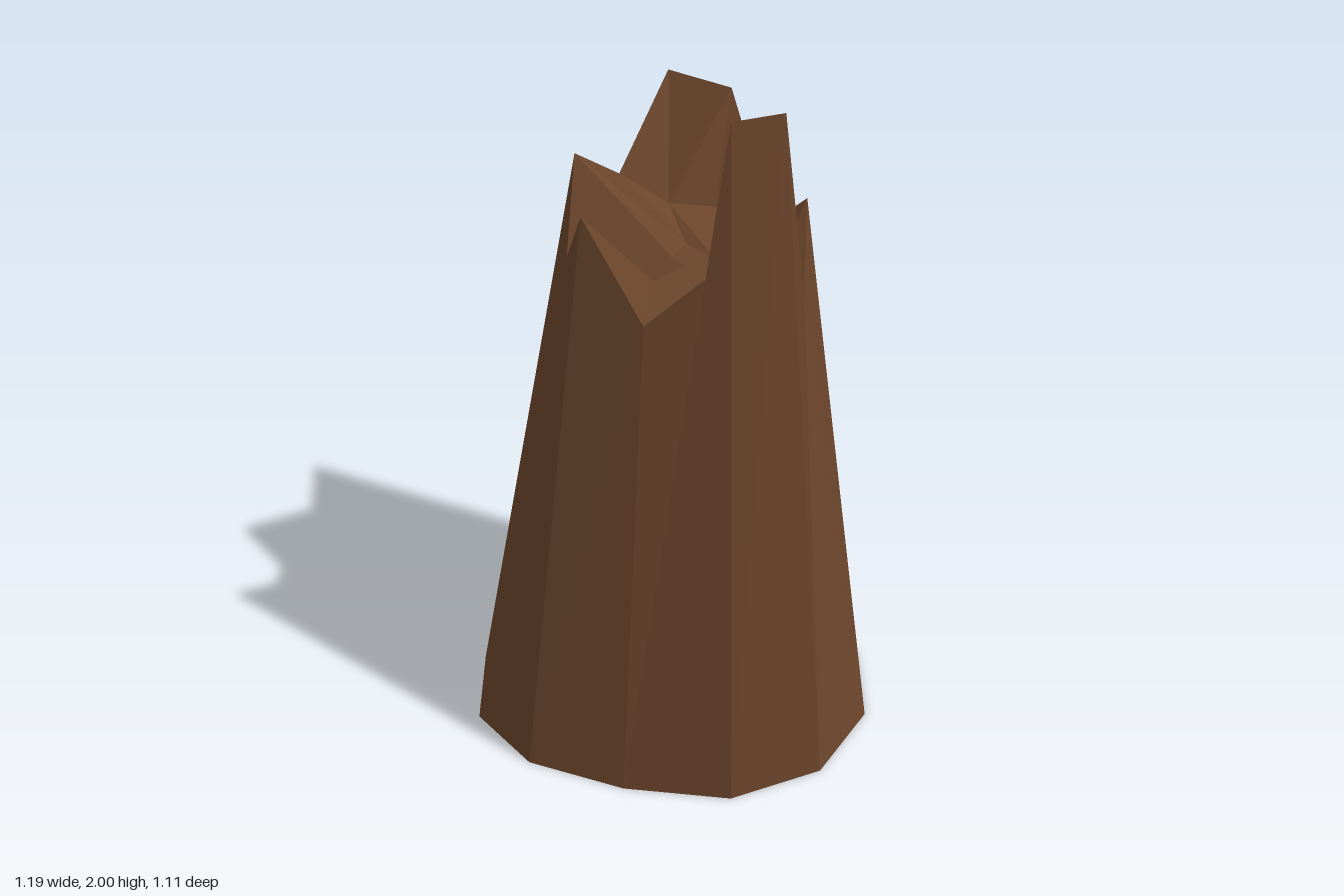
import * as THREE from 'three';

// Base outline [x, z], running from the back round by +x to the front
const BASE = [
  [0, -0.555], [0.295, -0.48], [0.515, -0.26], [0.593, 0.04], [0.515, 0.335], [0.295, 0.52],
  [-0.01, 0.552], [-0.305, 0.505], [-0.515, 0.335], [-0.595, 0.04], [-0.515, -0.26], [-0.3, -0.48],
].map(([x, z]) => new THREE.Vector3(x, 0, z));

// Splintered rim: x, y, z, and the base corner it grows from
const RIM_ROWS = [
  [0.06, 1.76, -0.41, 0], [0.21, 1.375, -0.325, 1], [0.335, 1.56, -0.15, 2], [0.38, 1.39, 0.095, 3],
  [0.37, 2, 0.355, 4], [0.25, 1.995, 0.435, 5], [0.195, 1.53, 0.36, 6], [0.015, 1.39, 0.39, 6],
  [-0.17, 1.65, 0.32, 7], [-0.285, 1.38, 0.165, 8], [-0.29, 1.4, 0.07, 9], [-0.295, 1.67, -0.045, 9],
  [-0.23, 1.53, -0.26, 10], [-0.14, 1.775, -0.47, 11],
];
const RIM = RIM_ROWS.map(([x, y, z]) => new THREE.Vector3(x, y, z));

// Foot of the inner splinter below each rim edge
const INNER = [
  [0.04, 1.44, -0.3], [0.155, 1.4, -0.19], [0.265, 1.39, 0.01], [0.265, 1.39, 0.095], [0.265, 1.39, 0.095],
  [0.265, 1.39, 0.095], [0.1, 1.39, 0.085], [-0.03, 1.39, 0.12], [0.03, 1.39, 0], [0.03, 1.39, 0],
  [-0.02, 1.39, -0.045], [0, 1.4, -0.12], [-0.08, 1.46, -0.245], [-0.08, 1.46, -0.245],
].map((p) => new THREE.Vector3(...p));

function facetedMesh(name, triangles, material) {
  // Leave out triangles whose corners coincide
  const solid = triangles.filter(([a, b, c]) => !a.equals(b) && !b.equals(c) && !c.equals(a));
  const geometry = new THREE.BufferGeometry().setFromPoints(solid.flat());
  geometry.computeVertexNormals();
  const mesh = new THREE.Mesh(geometry, material);
  mesh.name = name;
  return mesh;
}

export function createModel() {
  const group = new THREE.Group();
  group.name = 'brokenTreeStump';
  const bark = new THREE.MeshStandardMaterial({ color: 0x6b452b, flatShading: true, side: THREE.DoubleSide });

  const outer = [], inside = [], bottom = [];
  const floorCentre = new THREE.Vector3(0.1, 1.39, -0.06);
  const baseCentre = new THREE.Vector3();

  RIM.forEach((rim, i) => {
    const j = (i + 1) % RIM.length;
    const b0 = BASE[RIM_ROWS[i][3]], b1 = BASE[RIM_ROWS[j][3]];
    // Bark facets from the rim to the base
    outer.push([rim, RIM[j], b1], [rim, b1, b0]);
    // Splinter slopes and the core floor between them
    inside.push([rim, INNER[i], RIM[j]], [RIM[j], INNER[i], INNER[j]], [floorCentre, INNER[j], INNER[i]]);
  });
  BASE.forEach((b, i) => bottom.push([baseCentre, b, BASE[(i + 1) % BASE.length]]));

  group.add(
    facetedMesh('barkSides', outer, bark),
    facetedMesh('splinteredCore', inside, bark),
    facetedMesh('underside', bottom, bark),
  );
  return group;
}
